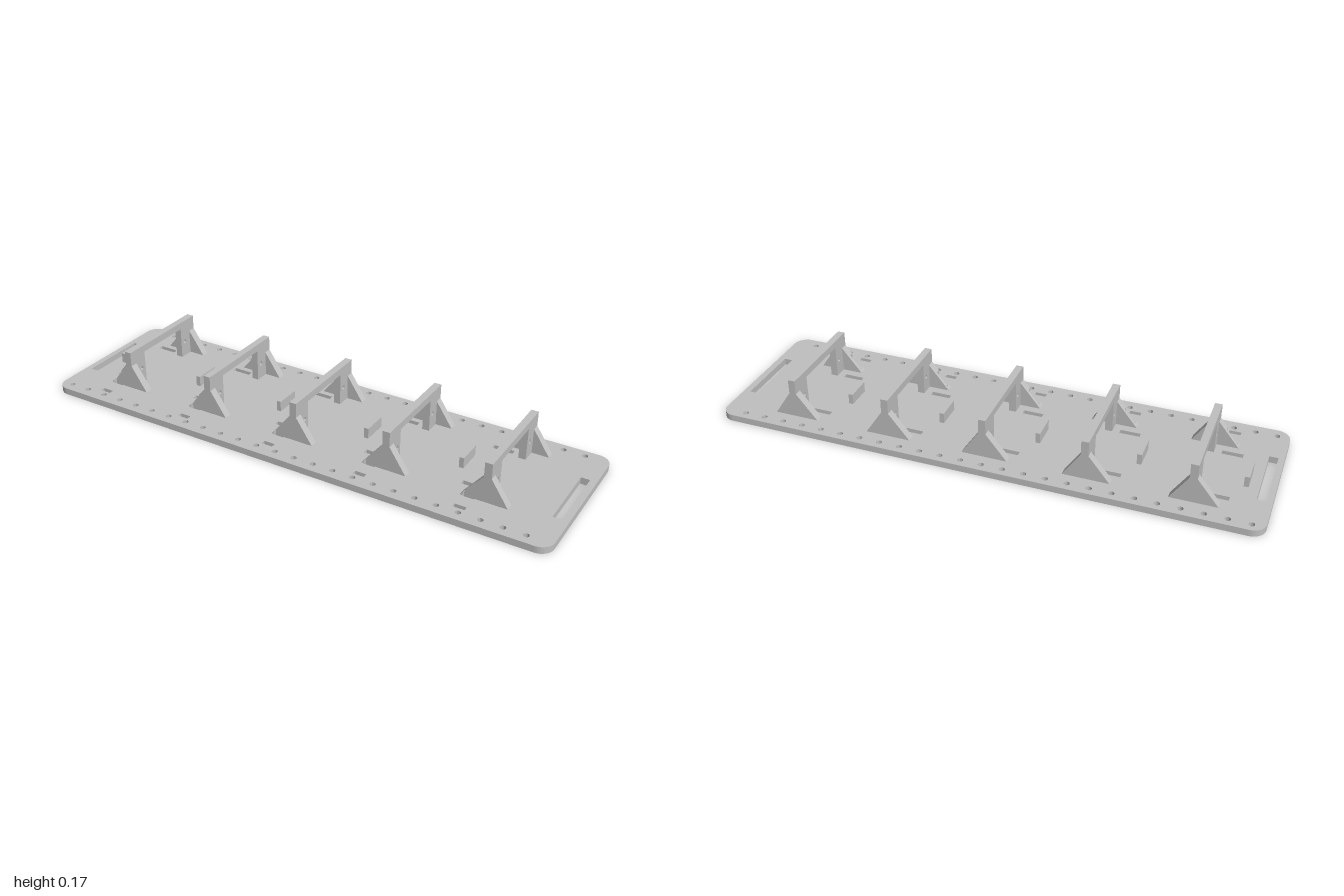
import * as THREE from 'three';
import { toCreasedNormals } from 'three/addons/utils/BufferGeometryUtils.js';

const PLATE_TOP = 0.025;
const HALF = 0.0135; // half thickness of a bracket
const bracketXs = [0, 1, 2, 3, 4].map((i) => -0.746 + i * 0.369);

const circle = (x, y, r) => new THREE.Path().absarc(x, y, r, 0, Math.PI * 2, true);

// Rectangular slot in plan; shape y is -z
const slot = (x0, x1, z0, z1) => new THREE.Path([
  [x0, -z0], [x0, -z1], [x1, -z1], [x1, -z0], [x0, -z0],
].map((p) => new THREE.Vector2(...p)));

const polygon = (points) => new THREE.Shape(points.map((p) => new THREE.Vector2(...p)));

const extrude = (shape, depth, curveSegments = 12) =>
  toCreasedNormals(new THREE.ExtrudeGeometry(shape, { depth, bevelEnabled: false, curveSegments }), 0.6);

// Rounded base plate with all its perforations
function plateGeometry() {
  const w = 1, d = 0.301, r = 0.05;
  const s = new THREE.Shape();
  s.absarc(w - r, d - r, r, 0, Math.PI / 2);
  s.absarc(-w + r, d - r, r, Math.PI / 2, Math.PI);
  s.absarc(-w + r, -d + r, r, Math.PI, Math.PI * 1.5);
  s.absarc(w - r, -d + r, r, Math.PI * 1.5, Math.PI * 2);
  // Screw holes along both long edges
  for (let i = 0; i < 25; i++) {
    for (const z of [-0.27, 0.263]) s.holes.push(circle(-0.953 + i * 0.0776, -z, 0.0105));
  }
  // Handle slots at the ends
  s.holes.push(slot(-0.978, -0.946, -0.135, 0.128), slot(0.943, 0.975, -0.135, 0.128));
  // Strap slots beside each bracket
  for (const x of bracketXs) {
    s.holes.push(
      slot(x - 0.115, x - 0.04, -0.173, -0.153),
      slot(x - 0.115, x - 0.04, 0.086, 0.106),
      slot(x - 0.083, x - 0.04, 0.15, 0.17),
      slot(x - 0.083, x - 0.04, 0.223, 0.241),
    );
  }
  return extrude(s, PLATE_TOP).rotateX(-Math.PI / 2);
}

// Portal frame with a hole in each leg, drawn in (z, y)
function frameGeometry() {
  const s = polygon([
    [-0.223, PLATE_TOP], [-0.14, PLATE_TOP], [-0.14, 0.148], [0.086, 0.148],
    [0.086, PLATE_TOP], [0.166, PLATE_TOP], [0.166, 0.175], [-0.223, 0.175],
  ]);
  s.holes.push(circle(0.107, 0.085, 0.008), circle(-0.163, 0.085, 0.008));
  return extrude(s, HALF * 2, 16).rotateY(-Math.PI / 2).translate(HALF, 0, 0);
}

// Slice of a sloping gusset between x0 and x1, foot at x = foot
function gussetGeometry(foot, x0, x1, z0, z1) {
  const inner = Math.sign(foot) * HALF;
  const height = (x) => PLATE_TOP + 0.095 * (x - foot) / (inner - foot);
  const points = [[x0, PLATE_TOP], [x1, PLATE_TOP]];
  if (x1 !== foot) points.push([x1, height(x1)]);
  if (x0 !== foot) points.push([x0, height(x0)]);
  return extrude(polygon(points), z1 - z0).translate(0, 0, z0);
}

export function createModel() {
  const model = new THREE.Group();
  model.name = 'mountingPlate';
  const grey = new THREE.MeshStandardMaterial({ color: 0xc0c0c0 });
  grey.name = 'grey';

  const add = (parent, name, geometry) => {
    const mesh = new THREE.Mesh(geometry, grey);
    mesh.name = name;
    parent.add(mesh);
    return mesh;
  };

  add(model, 'basePlate', plateGeometry());

  const frame = frameGeometry();
  const stop = new THREE.BoxGeometry(0.017, 0.04, 0.097);
  const right = -0.091, left = 0.077;
  const gussets = [
    ['backRightGusset', gussetGeometry(right, right, -HALF, -0.223, -0.194)],
    ['backLeftGusset', gussetGeometry(left, HALF, left, -0.223, -0.194)],
    ['frontLeftGusset', gussetGeometry(left, HALF, left, 0.137, 0.166)],
    // This gusset is notched by the slot below it
    ['frontRightGussetToe', gussetGeometry(right, right, -0.083, 0.137, 0.166)],
    ['frontRightGussetWeb', gussetGeometry(right, -0.083, -0.04, 0.137, 0.15)],
    ['frontRightGussetRoot', gussetGeometry(right, -0.04, -HALF, 0.137, 0.166)],
  ];

  // Five identical brackets, each with a small stop block beside it
  bracketXs.forEach((x, i) => {
    const bracket = new THREE.Group();
    bracket.name = `bracket${i + 1}`;
    bracket.position.x = x;
    add(bracket, 'portalFrame', frame);
    gussets.forEach(([name, geometry]) => add(bracket, name, geometry));
    add(bracket, 'stopBlock', stop).position.set(-0.155, PLATE_TOP + 0.02, -0.0285);
    model.add(bracket);
  });

  return model;
}
